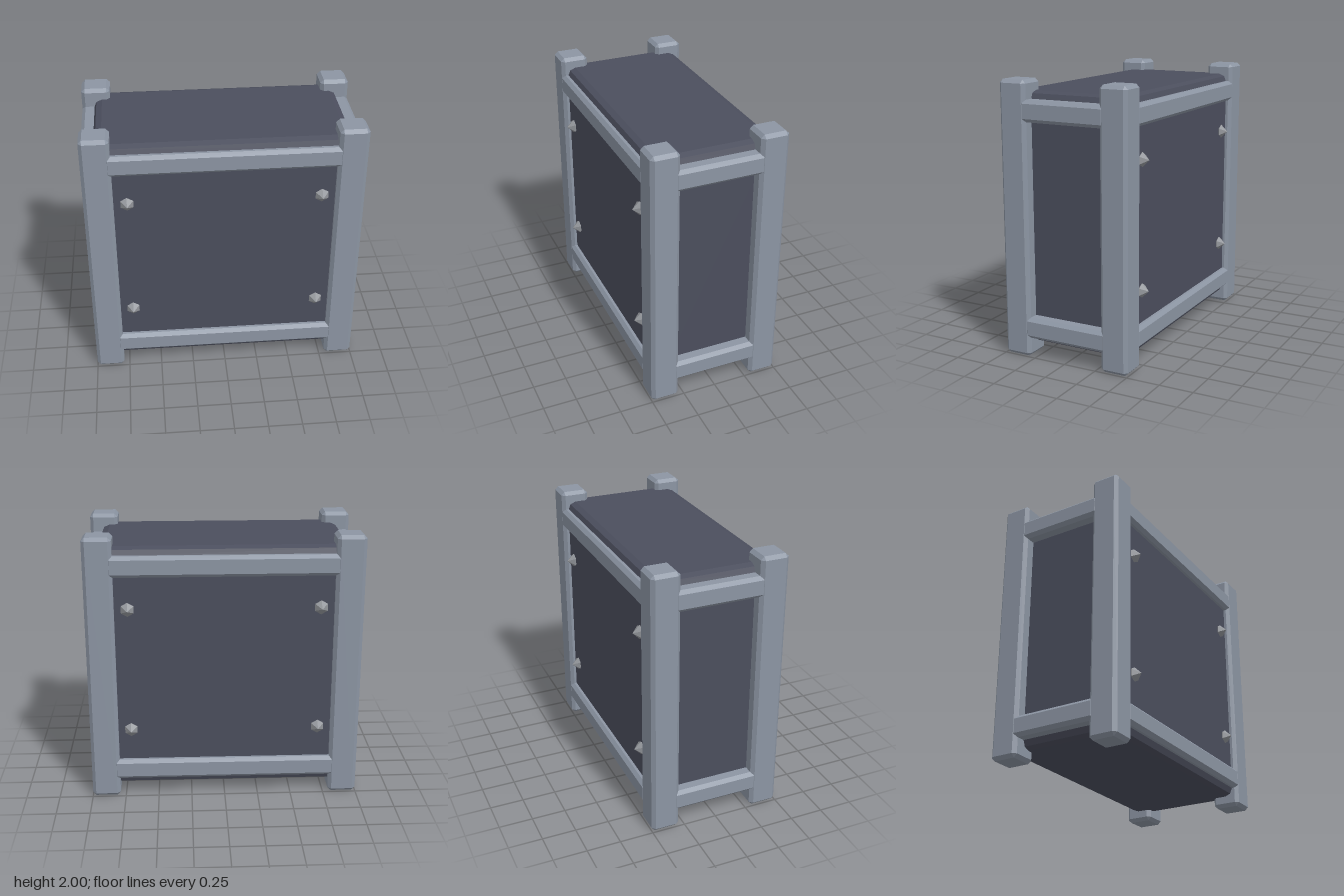
import * as THREE from 'three';
import { ConvexGeometry } from 'three/addons/geometries/ConvexGeometry.js';

// Box with bevelled edges and flat facets; steps = facets per bevel
function bevelBox(w, h, d, r, steps) {
  const points = [];
  for (const sx of [-1, 1]) for (const sy of [-1, 1]) for (const sz of [-1, 1]) {
    for (let i = 0; i <= steps; i++) {
      const a = (i / steps) * Math.PI / 2;
      for (let j = 0; j <= (i === steps ? 0 : steps); j++) {
        const b = (j / steps) * Math.PI / 2;
        points.push(new THREE.Vector3(
          sx * (w / 2 - r + r * Math.cos(a) * Math.cos(b)),
          sy * (h / 2 - r + r * Math.sin(a)),
          sz * (d / 2 - r + r * Math.cos(a) * Math.sin(b))
        ));
      }
    }
  }
  return new ConvexGeometry(points);
}

export function createModel() {
  const model = new THREE.Group();
  model.name = 'framedCrate';

  const frameMat = new THREE.MeshStandardMaterial({ color: 0x8c95a3 });
  frameMat.name = 'frame grey';
  const bodyMat = new THREE.MeshStandardMaterial({ color: 0x4b4e5d });
  bodyMat.name = 'dark slate';
  const studMat = new THREE.MeshStandardMaterial({ color: 0x94979c, flatShading: true });
  studMat.name = 'stud grey';

  const add = (name, geometry, material, x, y, z) => {
    const mesh = new THREE.Mesh(geometry, material);
    mesh.name = name;
    mesh.position.set(x, y, z);
    model.add(mesh);
    return mesh;
  };

  // Inner body
  add('body', bevelBox(1.82, 1.84, 0.91, 0.06, 2), bodyMat, 0, 1, 0);

  // Corner posts
  const post = bevelBox(0.21, 2, 0.21, 0.025, 1);
  for (const sx of [-1, 1]) for (const sz of [-1, 1]) {
    add('cornerPost', post, frameMat, sx * 0.895, 1, sz * 0.395);
  }

  // Rails between the posts, flush with their outer faces
  const longRail = bevelBox(1.67, 0.155, 0.155, 0.025, 1);
  const shortRail = bevelBox(0.155, 0.155, 0.67, 0.025, 1);
  for (const y of [0.2175, 1.7875]) for (const s of [-1, 1]) {
    add(s > 0 ? 'frontRail' : 'backRail', longRail, frameMat, 0, y, s * 0.4225);
    add(s > 0 ? 'leftRail' : 'rightRail', shortRail, frameMat, s * 0.9225, y, 0);
  }

  // Six-sided pointed studs on the front and back panels
  const stud = new THREE.SphereGeometry(0.053, 6, 2);
  stud.rotateY(Math.PI / 6);
  stud.rotateX(Math.PI / 2);
  for (const sx of [-1, 1]) for (const y of [0.535, 1.47]) for (const sz of [-1, 1]) {
    add('stud', stud, studMat, sx * 0.695, y, sz * 0.462);
  }

  return model;
}
